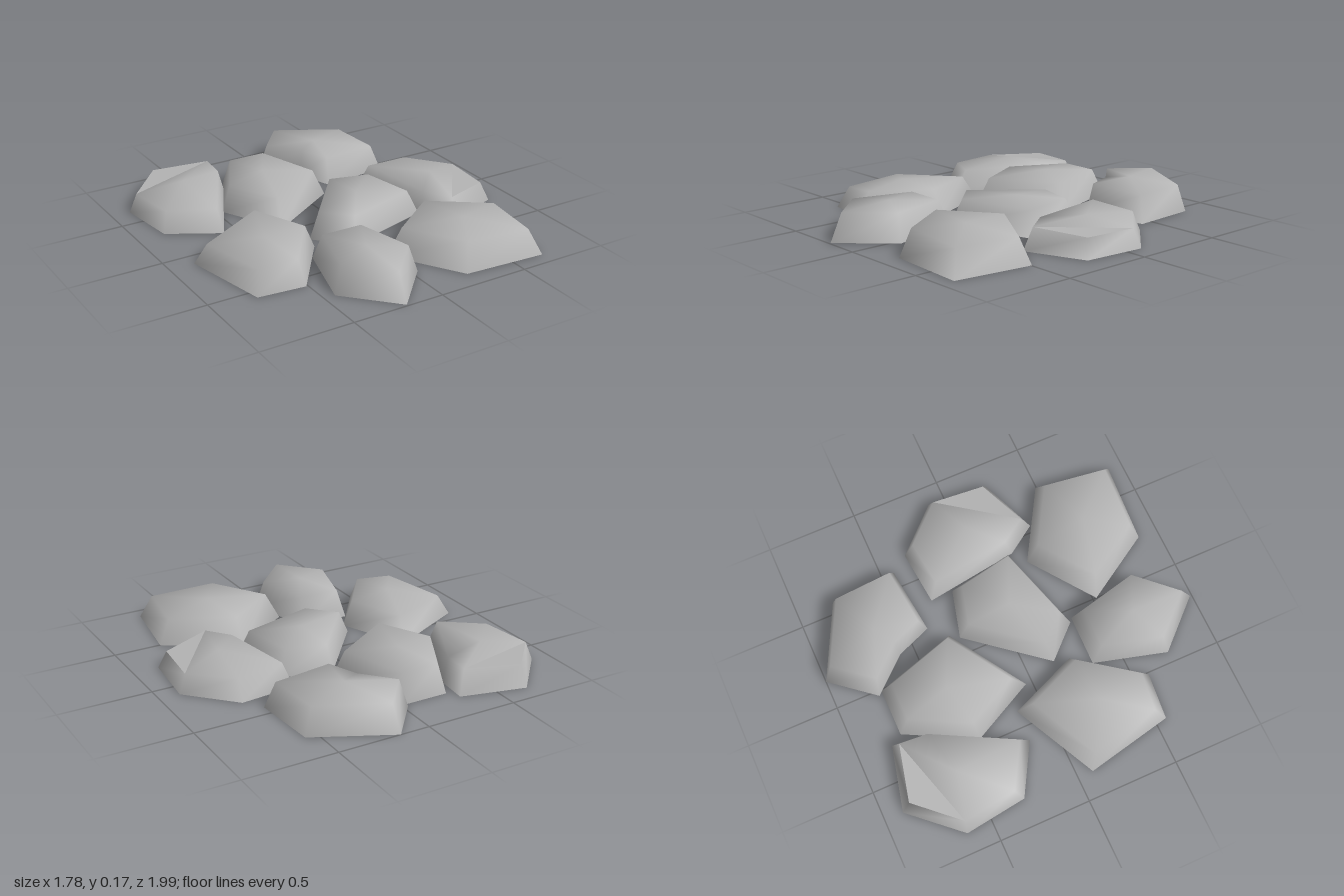
import * as THREE from 'three';

// Each stone: ground outline (x, z pairs, clockwise from above) and crown height.
// fan = start corner of the underside fan; flat = its one hard-edged triangle;
// ear = shoulder corner cut as a flat chip.
const STONES = [
  { name: 'backRightStone', crown: 0.145, inset: 0.86, fan: 2, flat: 1, ear: 0,
    base: [-0.66, -0.90, -0.31, -0.815, -0.325, -0.635, -0.58, -0.145, -0.85, -0.30, -0.895, -0.64] },
  { name: 'backMiddleStone', crown: 0.158,
    base: [-0.27, -0.75, -0.01, -0.75, 0.13, -0.30, -0.29, -0.035, -0.465, -0.38] },
  { name: 'backLeftStone', crown: 0.165, inset: 0.85, fan: 1, flat: 3,
    base: [0.16, -1.0, 0.565, -0.80, 0.59, -0.43, 0.215, -0.39, 0.14, -0.58, -0.03, -0.77] },
  { name: 'leftStone', crown: 0.14, inset: 0.85, fan: 5, flat: 1, ear: 3,
    base: [0.355, -0.305, 0.66, -0.335, 0.89, -0.095, 0.86, 0.245, 0.54, 0.37, 0.43, 0.21] },
  { name: 'centreStone', crown: 0.15, fan: 0, flat: 0,
    base: [0.095, -0.25, 0.36, -0.18, 0.43, 0.185, -0.07, 0.33, -0.235, 0.155] },
  { name: 'rightStone', crown: 0.148,
    base: [-0.41, -0.14, -0.255, 0.235, -0.51, 0.585, -0.765, 0.56, -0.865, 0.085] },
  { name: 'frontRightStone', crown: 0.16, fan: 1, flat: 2,
    base: [-0.33, 0.34, -0.05, 0.345, 0.04, 0.735, -0.20, 0.99, -0.44, 0.735] },
  { name: 'frontLeftStone', crown: 0.162,
    base: [0.35, 0.265, 0.74, 0.495, 0.68, 0.92, 0.23, 0.89, 0.0, 0.52] },
];

function stoneGeometry({ base, crown, inset = 0.81, fan = 0, flat, ear }) {
  const n = base.length / 2;
  const centre = [0, 0];
  base.forEach((v, i) => { centre[i % 2] += v / n; });
  const ground = [], shoulder = [];
  for (let i = 0; i < n; i++) {
    const x = base[2 * i], z = base[2 * i + 1];
    const sx = centre[0] + (x - centre[0]) * inset;
    const sz = centre[1] + (z - centre[1]) * inset;
    // Shoulders sit just under the crown and sink toward the outer sides
    const sy = crown - 0.015 - 0.06 * Math.max(0, Math.abs(sx) - 0.4);
    ground.push([x, 0, z]);
    shoulder.push([sx, sy, sz]);
  }
  const points = [...ground, ...shoulder, [centre[0], crown, centre[1]]];
  const smooth = [], hard = [], under = [];

  // Sloping sides
  for (let i = 0; i < n; i++) {
    const j = (i + 1) % n;
    smooth.push([i, n + i, j], [j, n + i, n + j]);
  }
  // Domed top, with an optional flat chip at one corner
  const top = [...Array(n).keys()].filter((i) => i !== ear);
  top.forEach((a, k) => smooth.push([2 * n, n + top[(k + 1) % top.length], n + a]));
  if (ear !== undefined) hard.push([n + ear, n + (ear + n - 1) % n, n + (ear + 1) % n]);
  // Underside, either all flat or rounded into the sides around one flat triangle
  for (let k = 0; k < n - 2; k++) {
    const tri = [fan, (fan + k + 1) % n, (fan + k + 2) % n];
    (flat === undefined || flat === k ? hard : under).push(tri);
  }

  // Hard-edged triangles get corners of their own
  const positions = points.flat();
  const hardIndex = [];
  for (const c of hard.flat()) {
    hardIndex.push(positions.length / 3);
    positions.push(...points[c]);
  }
  const geometry = new THREE.BufferGeometry();
  geometry.setAttribute('position', new THREE.Float32BufferAttribute(positions, 3));
  geometry.setIndex([...smooth.flat(), ...hardIndex]);
  geometry.computeVertexNormals();
  // The rounded underside borrows the normals of the sides
  geometry.setIndex([...smooth.flat(), ...hardIndex, ...under.flat()]);
  return geometry;
}

export function createModel() {
  const group = new THREE.Group();
  group.name = 'steppingStones';
  const stone = new THREE.MeshStandardMaterial({ color: 0xb4b4b4 });
  stone.name = 'stone grey';
  for (const spec of STONES) {
    const mesh = new THREE.Mesh(stoneGeometry(spec), stone);
    mesh.name = spec.name;
    group.add(mesh);
  }
  return group;
}
